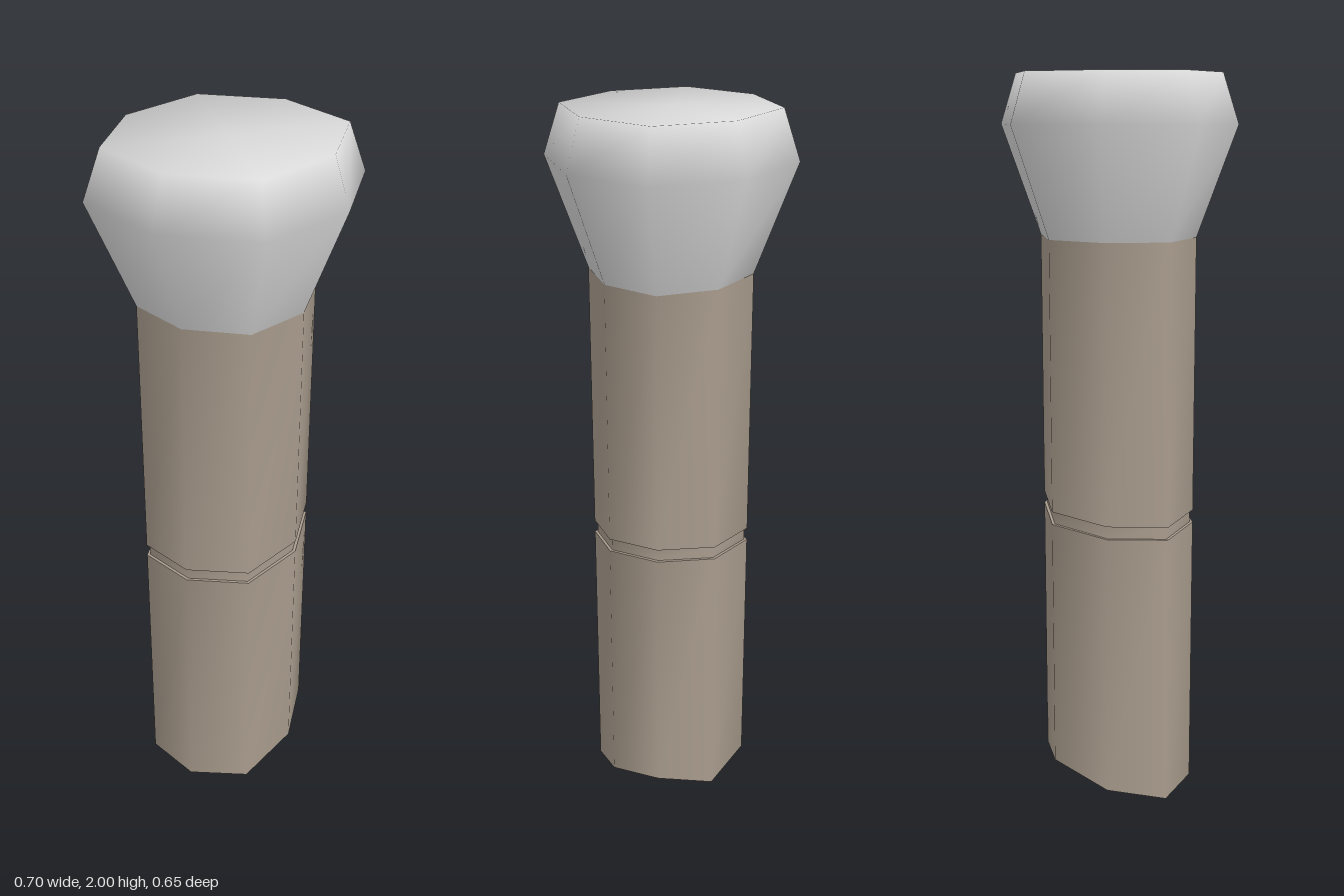
import * as THREE from 'three';

const SIDES = 8;

// One eight-sided ring: s scales the shaft outline, y is a height or a height per corner.
function ring(s, y) {
  const pts = [];
  for (let i = 0; i < SIDES; i++) {
    const a = (i / SIDES) * Math.PI * 2;
    const k = i % 2 ? 0.94 : 1; // diagonal corners sit slightly inside the ellipse
    pts.push([0.235 * s * k * Math.cos(a), Array.isArray(y) ? y[i] : y, 0.217 * s * k * Math.sin(a)]);
  }
  return pts;
}

// Skin rings listed from bottom to top; capTop / capBottom are centre heights for closing fans.
function loft(rings, { capTop, capBottom } = {}) {
  const pos = rings.flat(2);
  const idx = [];
  const at = (r, i) => r * SIDES + (i % SIDES);
  for (let r = 0; r + 1 < rings.length; r++) {
    for (let i = 0; i < SIDES; i++) {
      idx.push(at(r, i + 1), at(r, i), at(r + 1, i));
      idx.push(at(r, i + 1), at(r + 1, i), at(r + 1, i + 1));
    }
  }
  const fan = (r, y, up) => {
    const c = pos.length / 3;
    pos.push(0, y, 0);
    for (let i = 0; i < SIDES; i++) {
      idx.push(c, at(r, up ? i + 1 : i), at(r, up ? i : i + 1));
    }
  };
  if (capTop !== undefined) fan(rings.length - 1, capTop, true);
  if (capBottom !== undefined) fan(0, capBottom, false);
  const g = new THREE.BufferGeometry();
  g.setAttribute('position', new THREE.Float32BufferAttribute(pos, 3));
  g.setIndex(idx);
  g.computeVertexNormals();
  return g;
}

export function createModel() {
  const group = new THREE.Group();
  const shaftMat = new THREE.MeshStandardMaterial({ color: 0xa89b8c });
  shaftMat.name = 'taupe';
  const capMat = new THREE.MeshStandardMaterial({ color: 0xd6d6d6 });
  capMat.name = 'paleGrey';

  const add = (name, geometry, material) => {
    const m = new THREE.Mesh(geometry, material);
    m.name = name;
    group.add(m);
  };

  // Corner heights, from +x round through +z
  const tip = [0.145, 0.11, 0.05, 0.03, 0.03, 0.065, 0.115, 0.09];
  const crackTop = [0.882, 0.865, 0.842, 0.831, 0.825, 0.832, 0.848, 0.862];
  const crackBottom = crackTop.map((y) => y - 0.035);

  // Shaft in two lengths, parted by a slanting crack
  add('lowerShaft', loft([ring(1, tip), ring(1, crackBottom)]), shaftMat);
  add('upperShaft', loft([ring(1, crackTop), ring(1, 1.585)]), shaftMat);

  // Crack: narrow ledges around a slightly inset core
  add('crackLowerLedge', loft([ring(1, crackBottom), ring(0.96, crackBottom)]), shaftMat);
  add('crackCore', loft([ring(0.96, crackBottom), ring(0.96, crackTop)]), shaftMat);
  add('crackUpperLedge', loft([ring(0.96, crackTop), ring(1, crackTop)]), shaftMat);

  // Broken, pointed underside
  add('brokenTip', loft([ring(1, tip)], { capBottom: 0 }), shaftMat);

  // Flared head, softly shaded over its rim
  add('head', loft([ring(1, 1.58), ring(1.5, 1.87), ring(1.3, 2)], { capTop: 2 }), capMat);

  return group;
}
